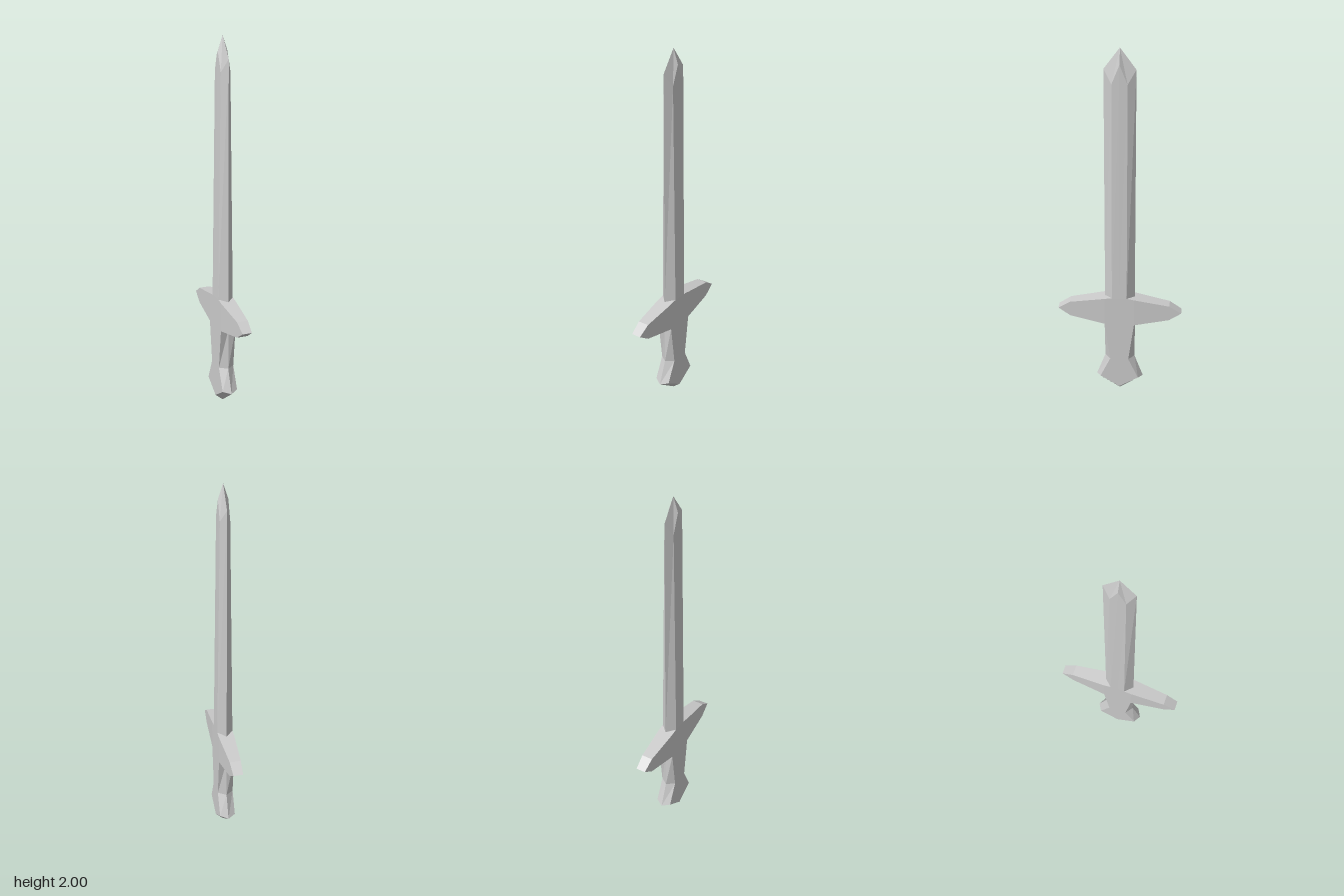
import * as THREE from 'three';

// Joins successive closed rings of points into a faceted skin.
function loft(name, rings, material) {
  const pos = [];
  const n = rings[0].length;
  for (let k = 0; k < rings.length - 1; k++) {
    for (let j = 0; j < n; j++) {
      const a = rings[k][j], b = rings[k][(j + 1) % n];
      const c = rings[k + 1][(j + 1) % n], d = rings[k + 1][j];
      pos.push(...a, ...b, ...c, ...a, ...c, ...d);
    }
  }
  const geometry = new THREE.BufferGeometry();
  geometry.setAttribute('position', new THREE.Float32BufferAttribute(pos, 3));
  geometry.computeVertexNormals();
  const mesh = new THREE.Mesh(geometry, material);
  mesh.name = name;
  return mesh;
}

// Horizontal section: sharp edges at z = ±outer, flat faces at x = ±t
// reaching z = ±inner, each with its own height.
function bevelRing({ t, inner, outer, edgeY, flatY, midY = flatY }) {
  return [
    [0, edgeY, outer], [t, flatY, inner], [t, midY, 0], [t, flatY, -inner],
    [0, edgeY, -outer], [-t, flatY, -inner], [-t, midY, 0], [-t, flatY, inner],
  ];
}

// Upright rectangular section of the guard.
const guardRing = (z, t, bottom, top) =>
  [[t, bottom, z], [t, top, z], [-t, top, z], [-t, bottom, z]];

export function createModel() {
  const group = new THREE.Group();
  group.name = 'sword';
  const material = new THREE.MeshStandardMaterial({
    color: 0xcccccc, flatShading: true, side: THREE.DoubleSide,
  });
  const T = 0.042; // half thickness at the hilt

  // Blade, thinning upwards to a faceted point
  group.add(loft('blade', [
    { t: T, inner: 0.04, outer: 0.081, edgeY: 0.6, flatY: 0.61 },
    { t: 0.026, inner: 0.04, outer: 0.081, edgeY: 1.89, flatY: 1.82, midY: 1.92 },
    { t: 0, inner: 0, outer: 0, edgeY: 2, flatY: 2 },
  ].map(bevelRing), material));

  // Crossguard, mirrored about its middle
  const half = [
    [0.335, 0.026, 0.525, 0.525],
    [0.27, 0.03, 0.482, 0.568],
    [0.08, T, 0.445, 0.604],
    [0.05, T, 0.445, 0.61],
  ];
  group.add(loft('crossguard', [
    ...half.map(([z, ...rest]) => guardRing(-z, ...rest)),
    ...half.slice().reverse().map((s) => guardRing(...s)),
  ], material));

  // Pommel, with a wedge-shaped foot
  const neck = { t: T, inner: 0.05, outer: 0.081, edgeY: 0.22, flatY: 0.22 };
  group.add(loft('pommel', [
    { t: T, inner: 0, outer: 0, edgeY: 0, flatY: 0.035 },
    { t: T, inner: 0.105, outer: 0.129, edgeY: 0.09, flatY: 0.1 },
    neck,
  ].map(bevelRing), material));

  // Grip
  group.add(loft('grip', [
    neck,
    { t: T, inner: 0.08, outer: 0.081, edgeY: 0.445, flatY: 0.445 },
  ].map(bevelRing), material));

  return group;
}
